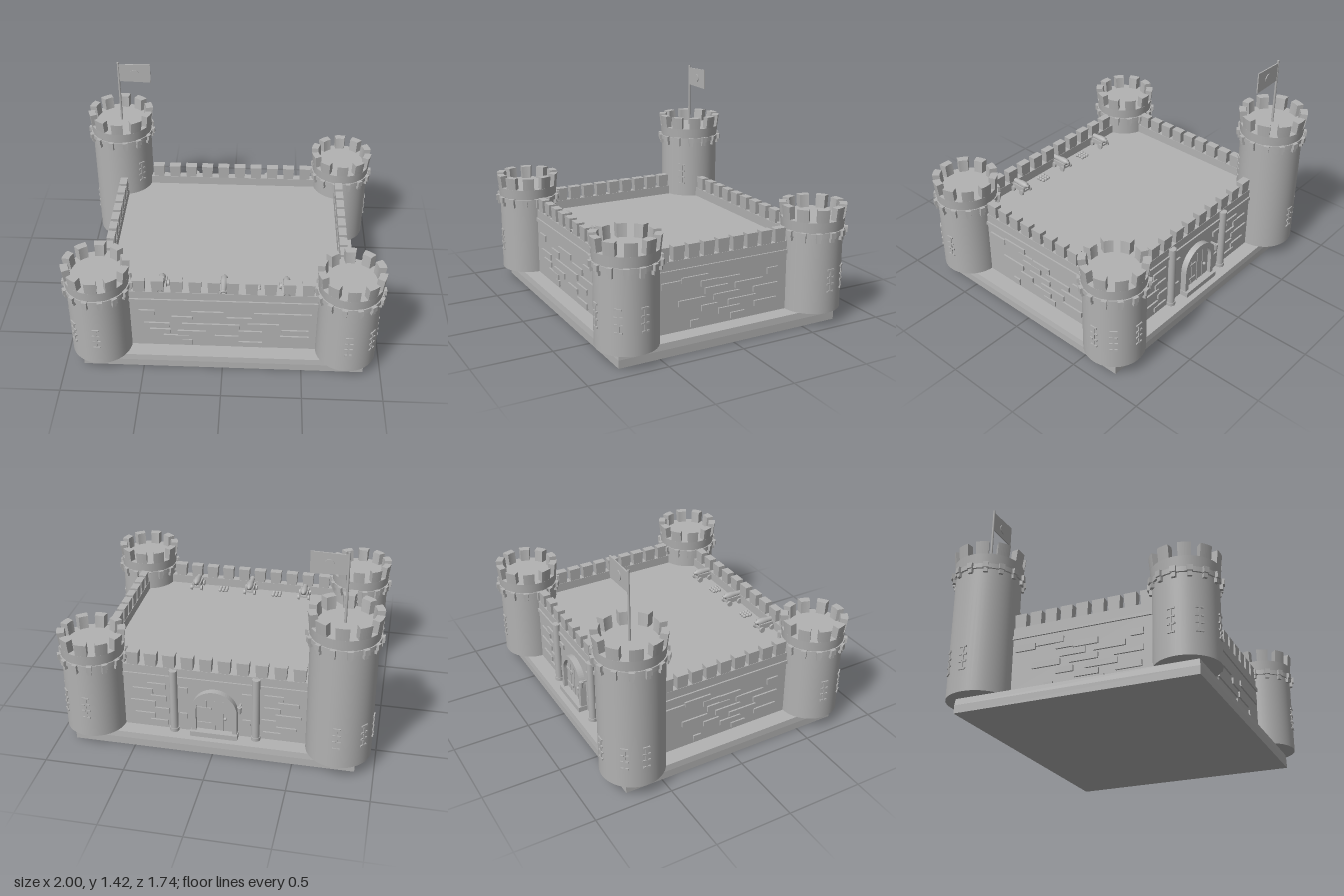
import * as THREE from 'three';

const stone = new THREE.MeshStandardMaterial({ color: 0xb2b2b2 });
stone.name = 'stone grey';

function add(parent, name, geo, x = 0, y = 0, z = 0) {
  const m = new THREE.Mesh(geo, stone);
  m.name = name;
  m.position.set(x, y, z);
  parent.add(m);
  return m;
}
const box = (w, h, d) => new THREE.BoxGeometry(w, h, d);
const cyl = (rt, rb, h, n = 48) => new THREE.CylinderGeometry(rt, rb, h, n);

// Box whose top is scaled in x and z
function flaredBox(w, h, d, k) {
  const g = box(w, h, d), p = g.attributes.position;
  for (let i = 0; i < p.count; i++) {
    if (p.getY(i) > 0) p.setXYZ(i, p.getX(i) * k, p.getY(i), p.getZ(i) * k);
  }
  g.computeVertexNormals();
  return g;
}

// Curved tower merlon, leaning slightly outward towards its top
function arcMerlon(r0, r1, angle, h) {
  const s = new THREE.Shape();
  s.absarc(0, 0, r1, -angle / 2, angle / 2, false);
  s.absarc(0, 0, r0, angle / 2, -angle / 2, true);
  const g = new THREE.ExtrudeGeometry(s, { depth: h, bevelEnabled: false, curveSegments: 4 });
  g.rotateX(-Math.PI / 2);
  const p = g.attributes.position;
  for (let i = 0; i < p.count; i++) {
    const k = 1 + 0.05 * p.getY(i) / h;
    p.setXYZ(i, p.getX(i) * k, p.getY(i), p.getZ(i) * k);
  }
  g.computeVertexNormals();
  return g;
}

// Arrow slit framed by bars, at an angle from +z towards +x
function arrowSlit(parent, r, deg, y) {
  const g = new THREE.Group();
  g.name = 'arrowSlit';
  g.rotation.y = THREE.MathUtils.degToRad(deg);
  for (const dy of [-0.07, 0.07]) add(g, 'slitBar', box(0.045, 0.011, 0.014), 0, y + dy, r);
  add(g, 'slitUpright', box(0.012, 0.13, 0.01), 0, y, r);
  for (const s of [-1, 1]) for (const dy of [-0.022, 0.022])
    add(g, 'slitTick', box(0.02, 0.01, 0.012), s * 0.015, y + dy, r);
  parent.add(g);
}

function tower(name, x, z, r, top, slits) {
  const g = new THREE.Group();
  g.name = name;
  g.position.set(x, 0, z);
  add(g, 'towerBody', cyl(r, r, top - 0.09), 0, (top + 0.09) / 2, 0);
  add(g, 'towerBand', cyl(r + 0.012, r + 0.012, 0.03), 0, top + 0.005, 0);
  add(g, 'parapet', cyl(r + 0.011, r + 0.004, 0.075), 0, top + 0.05, 0);
  // Corbels under the parapet
  for (let i = 0; i < 14; i++) {
    const a = (i + 0.5) / 14 * Math.PI * 2;
    const c = new THREE.Group();
    c.name = 'corbel';
    c.rotation.y = a;
    add(c, 'corbelHead', box(0.034, 0.036, 0.03), 0, top + 0.005, r + 0.013);
    add(c, 'corbelFoot', box(0.026, 0.03, 0.022), 0, top - 0.025, r + 0.007);
    g.add(c);
  }
  const merlon = arcMerlon(r - 0.035, r + 0.01, 0.37, 0.085);
  for (let i = 0; i < 10; i++) {
    add(g, 'towerMerlon', merlon, 0, top + 0.083, 0).rotation.y = (i + 0.5) / 10 * Math.PI * 2;
  }
  for (const a of slits) arrowSlit(g, r, a, 0.3);
  return g;
}

// Wall with its outer face towards local +z; bricks are [x, y, width, height]
function wall(name, length, count, step, bricks) {
  const g = new THREE.Group();
  g.name = name;
  add(g, 'wallBody', box(length, 0.445, 0.05), 0, 0.3125, -0.025);
  add(g, 'wallMoulding', box(length, 0.024, 0.02), 0, 0.468, 0);
  const merlon = flaredBox(0.069, 0.088, 0.045, 1.14);
  for (let i = 0; i < count; i++) {
    add(g, 'wallMerlon', merlon, (i - (count - 1) / 2) * step, 0.578, -0.025);
  }
  for (const [x, y, w, h] of bricks) add(g, 'brick', box(w, h, 0.022), x, y, 0);
  return g;
}

const frontBricks = [
  [-0.48, 0.37, 0.1, 0.04], [-0.1, 0.37, 0.2, 0.036], [0.37, 0.37, 0.36, 0.036], [-0.26, 0.32, 0.13, 0.045],
  [0.1, 0.325, 0.16, 0.04], [-0.42, 0.265, 0.16, 0.04], [-0.08, 0.265, 0.36, 0.04], [0.25, 0.28, 0.2, 0.036],
  [0.45, 0.23, 0.17, 0.04], [-0.4, 0.215, 0.13, 0.036], [0.17, 0.215, 0.15, 0.036], [-0.2, 0.205, 0.18, 0.036],
  [0.45, 0.18, 0.18, 0.036], [-0.3, 0.165, 0.16, 0.036], [0.02, 0.17, 0.15, 0.036], [-0.23, 0.125, 0.06, 0.04],
  [0.17, 0.12, 0.15, 0.04]];
const sideBricks = [
  [-0.36, 0.39, 0.13, 0.04], [-0.2, 0.405, 0.18, 0.036], [-0.1, 0.365, 0.12, 0.036], [0.03, 0.36, 0.16, 0.04],
  [0.35, 0.365, 0.08, 0.04], [-0.05, 0.315, 0.16, 0.04], [0.18, 0.315, 0.2, 0.036], [-0.22, 0.265, 0.18, 0.036],
  [0.02, 0.265, 0.18, 0.036], [0.3, 0.265, 0.18, 0.036], [0.13, 0.215, 0.2, 0.036], [-0.1, 0.21, 0.11, 0.036],
  [0.3, 0.17, 0.16, 0.036], [0.04, 0.17, 0.15, 0.036], [0.1, 0.125, 0.1, 0.036], [-0.2, 0.125, 0.055, 0.045]];
const backBricks = [];
for (const s of [-1, 1]) {
  backBricks.push([s * 0.37, 0.4, 0.12, 0.036], [s * 0.46, 0.355, 0.13, 0.036], [s * 0.36, 0.31, 0.1, 0.036],
    [s * 0.46, 0.265, 0.16, 0.036], [s * 0.34, 0.22, 0.09, 0.036], [s * 0.45, 0.175, 0.13, 0.036],
    [s * 0.36, 0.13, 0.11, 0.036], [s * 0.2, 0.39, 0.06, 0.036], [s * 0.2, 0.2, 0.05, 0.036]);
}

// Arched outline used for the door and its surround
function archPath(P, w, h) {
  const p = new P();
  p.moveTo(-w, 0);
  p.lineTo(w, 0);
  p.lineTo(w, h - w);
  p.absarc(0, h - w, w, 0, Math.PI, false);
  p.lineTo(-w, 0);
  return p;
}
function gate() {
  const g = new THREE.Group();
  g.name = 'gate';
  const frame = archPath(THREE.Shape, 0.145, 0.325);
  frame.holes.push(archPath(THREE.Path, 0.115, 0.295));
  const solid = (s, depth) => new THREE.ExtrudeGeometry(s, { depth, bevelEnabled: false, curveSegments: 16 });
  add(g, 'doorFrame', solid(frame, 0.04), 0, 0.09, 0);
  add(g, 'door', solid(archPath(THREE.Shape, 0.116, 0.296), 0.014), 0, 0.09, 0);
  add(g, 'doorStep', box(0.3, 0.035, 0.06), 0, 0.107, 0.03);
  for (const x of [-0.055, 0, 0.055]) add(g, 'doorPlank', box(0.006, 0.24, 0.006), x, 0.22, 0.015);
  for (const y of [0.17, 0.28]) add(g, 'hinge', box(0.09, 0.014, 0.008), -0.065, y, 0.017);
  add(g, 'doorKnob', new THREE.SphereGeometry(0.011, 12, 8), 0.07, 0.22, 0.022);
  // Lantern beside the arch
  add(g, 'lanternArm', box(0.01, 0.01, 0.04), 0.163, 0.33, 0.02);
  add(g, 'lantern', cyl(0.015, 0.01, 0.045, 12), 0.163, 0.31, 0.04);
  for (const s of [-1, 1]) {
    add(g, 'pilaster', cyl(0.025, 0.025, 0.44, 20), s * 0.26, 0.31, 0.013);
    add(g, 'pilasterFoot', cyl(0.03, 0.03, 0.025, 20), s * 0.26, 0.1, 0.013);
  }
  return g;
}

function cannon(x) {
  const g = new THREE.Group();
  g.name = 'cannon';
  g.position.set(x, 0.475, 0.57);
  const profile = [[0, -0.085], [0.01, -0.08], [0.01, -0.07], [0.022, -0.062], [0.023, -0.02], [0.019, 0],
    [0.016, 0.065], [0.021, 0.075], [0.021, 0.088], [0.012, 0.088], [0.01, 0.04], [0, 0.04]];
  const barrel = new THREE.LatheGeometry(profile.map(p => new THREE.Vector2(...p)), 16);
  add(g, 'cannonBarrel', barrel, 0, 0.062, 0).rotation.x = Math.PI / 2;
  for (const s of [-1, 1]) {
    add(g, 'carriageCheek', box(0.012, 0.035, 0.11), s * 0.024, 0.038, -0.01);
    for (const z of [-0.05, 0.03])
      add(g, 'cannonWheel', cyl(0.019, 0.019, 0.013, 16), s * 0.036, 0.019, z).rotation.z = Math.PI / 2;
  }
  add(g, 'carriageBed', box(0.05, 0.012, 0.11), 0, 0.027, -0.01);
  return g;
}

export function createModel() {
  const model = new THREE.Group();
  model.name = 'castle';

  // Plinth and courtyard roof
  add(model, 'plinthFoot', box(1.775, 0.05, 1.505), 0.003, 0.025, 0.01);
  add(model, 'plinthTop', flaredBox(1.775, 0.04, 1.505, 0.994), 0.003, 0.07, 0.01);
  add(model, 'courtyard', box(1.5, 0.385, 1.25), 0.003, 0.2825, 0.01);

  // Four walls
  const place = (w, x, z, turn) => {
    w.position.set(x, 0, z);
    w.rotation.y = turn * Math.PI / 2;
    model.add(w);
  };
  place(wall('frontWall', 1.3, 10, 0.116, frontBricks), 0.003, 0.66, 0);
  place(wall('leftWall', 1.1, 9, 0.1015, sideBricks), 0.78, 0.01, 1);
  place(wall('rightWall', 1.1, 9, 0.1015, sideBricks), -0.772, 0.01, -1);
  place(wall('backWall', 1.3, 10, 0.116, backBricks), 0.003, -0.64, 2);
  place(gate(), 0.003, -0.64, 2);

  // Corner towers, one of them taller
  model.add(tower('frontLeftTower', 0.777, 0.655, 0.19, 0.59, [0, 50, 97]));
  model.add(tower('frontRightTower', -0.772, 0.655, 0.19, 0.59, [0, -50, -97]));
  model.add(tower('backLeftTower', 0.777, -0.635, 0.19, 0.59, [93, 130, 180]));
  const tall = tower('tallTower', -0.771, -0.64, 0.202, 0.89, [-93, -130, 180]);
  arrowSlit(tall, 0.202, 45, 0.64);
  model.add(tall);

  // Flag
  add(model, 'flagPole', cyl(0.007, 0.008, 0.46, 12), -0.768, 1.19, -0.64);
  const cloth = new THREE.Shape([[0, 1.28], [0.215, 1.273], [0.215, 1.41], [0, 1.403]]
    .map(p => new THREE.Vector2(...p)));
  add(model, 'flag', new THREE.ExtrudeGeometry(cloth, { depth: 0.008, bevelEnabled: false }), -0.767, 0, -0.644);
  add(model, 'flagDisc', cyl(0.03, 0.03, 0.018, 24), -0.66, 1.338, -0.64).rotation.x = Math.PI / 2;

  // Cannons and piles of shot
  for (const x of [-0.387, 0.003, 0.392]) model.add(cannon(x));
  const ball = new THREE.SphereGeometry(0.012, 12, 8);
  for (const x of [-0.19, 0.198]) {
    for (let i = 0; i < 9; i++)
      add(model, 'cannonBall', ball, x + (i % 3 - 1) * 0.023, 0.487, 0.545 + (Math.floor(i / 3) - 1) * 0.023);
  }
  return model;
}
